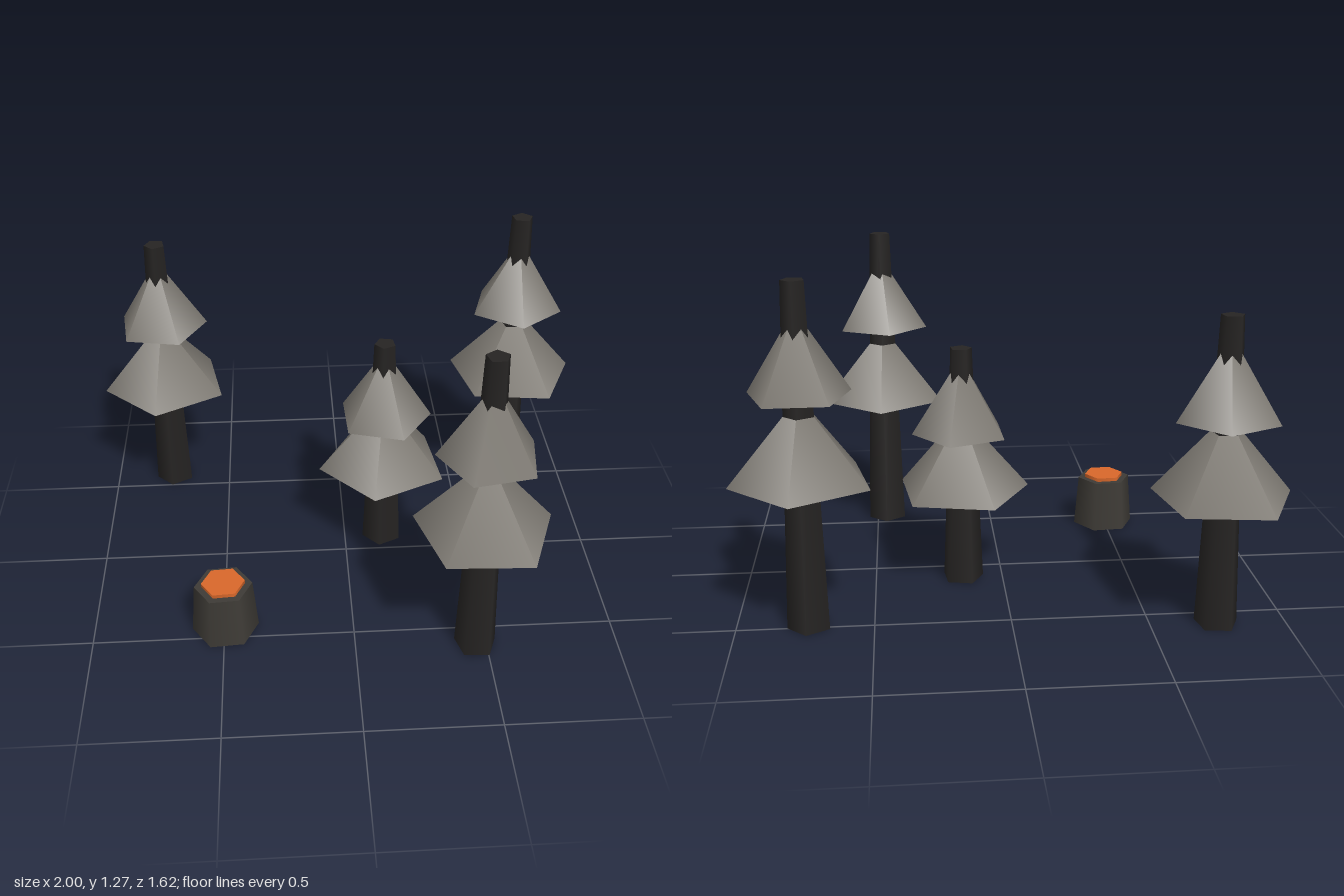
import * as THREE from 'three';

const material = (color) => new THREE.MeshStandardMaterial({ color });
const bark = material(0x262423);
const needles = material(0x7d7972);
const stumpBark = material(0x3e3b36);
const cutWood = material(0xd9682b);

// Adds a solid standing with its base at height y, turned by a number of degrees.
function addPart(parent, name, rTop, rBottom, height, sides, y, degrees, mat) {
  const geometry = rTop === 0
    ? new THREE.ConeGeometry(rBottom, height, sides)
    : new THREE.CylinderGeometry(rTop, rBottom, height, sides);
  const mesh = new THREE.Mesh(geometry, mat);
  mesh.name = name;
  mesh.position.y = y + height / 2;
  mesh.rotation.y = THREE.MathUtils.degToRad(degrees);
  parent.add(mesh);
}

// A five-sided tapered trunk carrying two tiers of foliage.
function makeTree({ x, z, height, lowerY, upperY, lowerTurn, upperTurn }) {
  const tree = new THREE.Group();
  tree.name = 'tree';
  tree.position.set(x, 0, z);
  addPart(tree, 'trunk', 0.043, 0.082, height, 5, 0, lowerTurn, bark);
  addPart(tree, 'lowerFoliage', 0, 0.264, 0.31, 5, lowerY, lowerTurn, needles);
  addPart(tree, 'upperFoliage', 0, 0.19, 0.3, 5, upperY, upperTurn, needles);
  return tree;
}

// A six-sided stump with a thin disc of fresh wood on top.
function makeStump(x, z) {
  const stump = new THREE.Group();
  stump.name = 'stump';
  stump.position.set(x, 0, z);
  addPart(stump, 'stumpBark', 0.111, 0.128, 0.21, 6, 0, 34, stumpBark);
  addPart(stump, 'cutTop', 0.083, 0.083, 0.025, 6, 0.2, 34, cutWood);
  return stump;
}

export function createModel() {
  const model = new THREE.Group();
  model.name = 'forestClearing';
  const trees = [
    { x: -0.745, z: -0.583, height: 1.15, lowerY: 0.49, upperY: 0.777, lowerTurn: -7.5, upperTurn: 25.5 },
    { x: 0.157, z: -0.1, height: 0.935, lowerY: 0.37, upperY: 0.6, lowerTurn: -11.4, upperTurn: 20 },
    { x: 0.458, z: 0.586, height: 1.27, lowerY: 0.555, upperY: 0.87, lowerTurn: 33.5, upperTurn: 46 },
    { x: 0.735, z: -0.482, height: 1.275, lowerY: 0.558, upperY: 0.873, lowerTurn: 29.4, upperTurn: 1 },
  ];
  for (const tree of trees) model.add(makeTree(tree));
  model.add(makeStump(-0.495, 0.435));
  return model;
}
